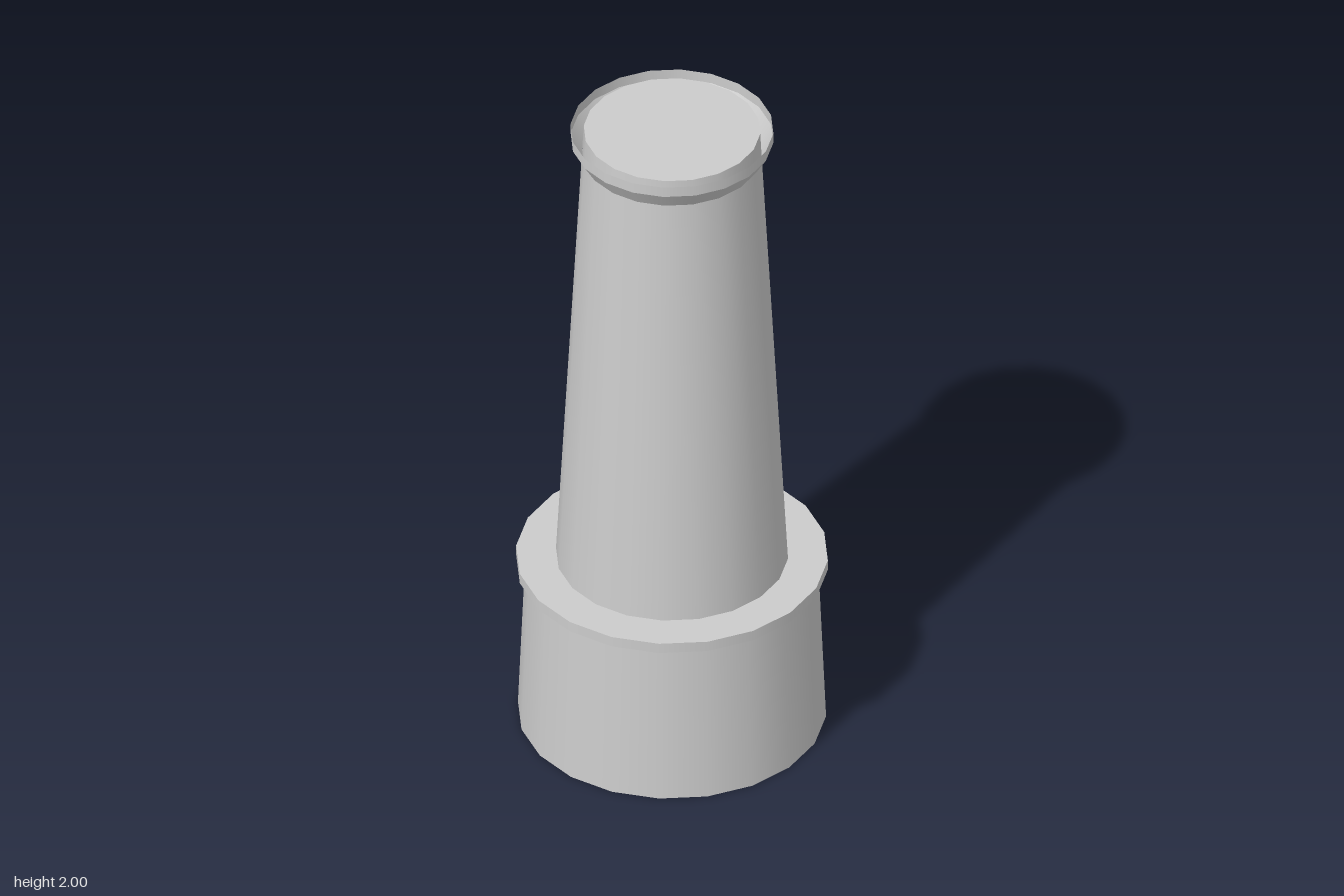
import * as THREE from 'three';

const SIDES = 20;

export function createModel() {
  const group = new THREE.Group();
  group.name = 'tower';
  const grey = new THREE.MeshStandardMaterial({ color: 0xcccccc, side: THREE.DoubleSide });
  grey.name = 'light grey';

  // Each straight profile run is its own lathe: smooth around, sharp between runs.
  const turned = (name, profile) => {
    const part = new THREE.Group();
    part.name = name;
    for (let i = 0; i < profile.length - 1; i++) {
      const run = [profile[i], profile[i + 1]].map(([r, y]) => new THREE.Vector2(r, y));
      const mesh = new THREE.Mesh(new THREE.LatheGeometry(run, SIDES), grey);
      mesh.name = `${name}Band${i + 1}`;
      part.add(mesh);
    }
    group.add(part);
  };

  // Hollow base, open underneath
  turned('base', [[0.433, 0], [0.412, 0.505]]);
  // Overhanging ledge
  turned('ledge', [[0.412, 0.505], [0.438, 0.505], [0.438, 0.537], [0.326, 0.537]]);
  // Tapered shaft, closed at the top
  turned('shaft', [[0.326, 0.537], [0.248, 1.996], [0, 1.996]]);
  // Thin flared rim standing around the shaft top
  turned('rim', [[0.253, 1.915], [0.285, 1.968], [0.285, 2]]);

  return group;
}
